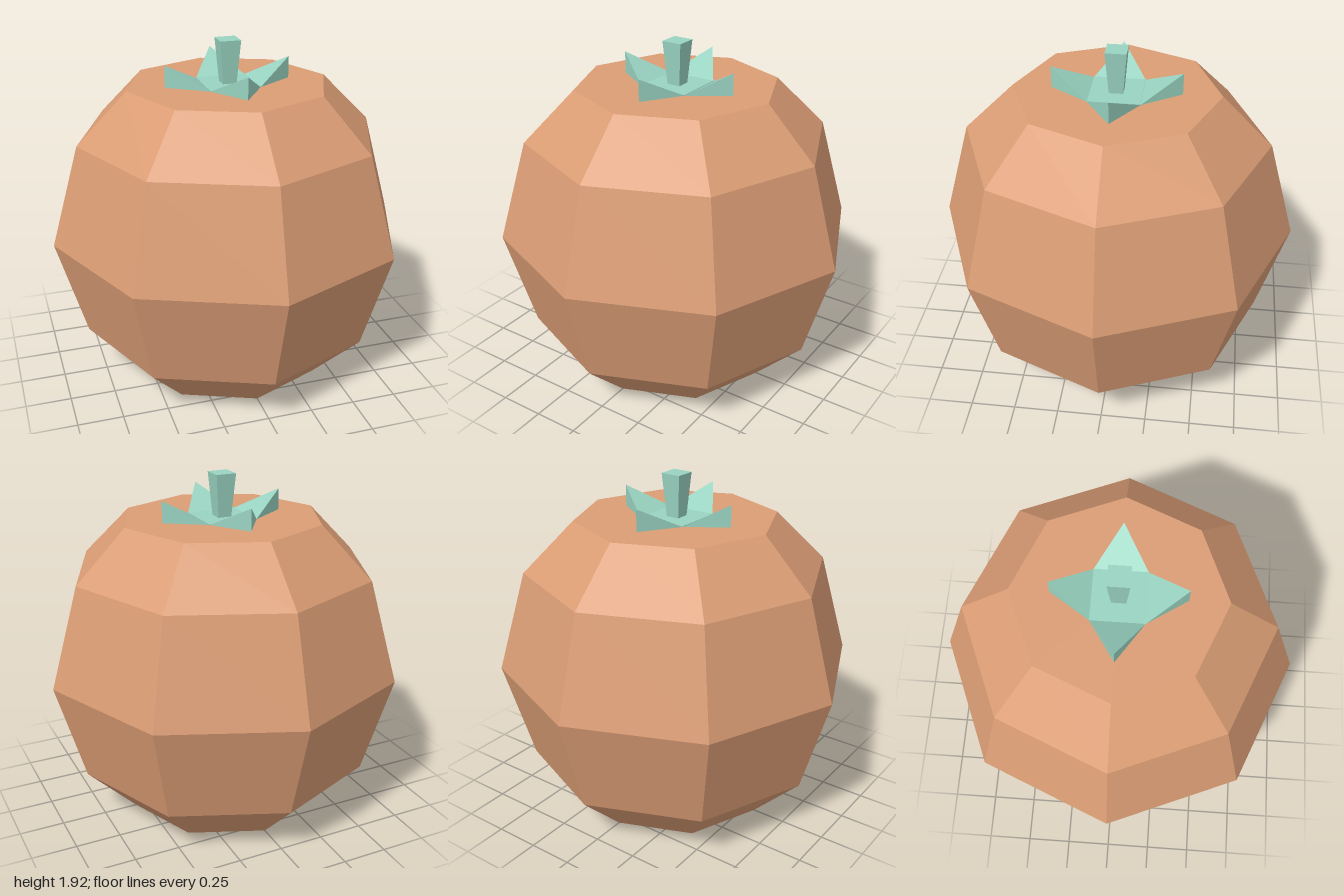
import * as THREE from 'three';

const skin = new THREE.MeshStandardMaterial({ name: 'skin orange', color: 0xdb9d75, flatShading: true });
const green = new THREE.MeshStandardMaterial({ name: 'leaf green', color: 0x99d3c1, flatShading: true });

function addMesh(parent, name, geometry, material) {
  const mesh = new THREE.Mesh(geometry, material);
  mesh.name = name;
  parent.add(mesh);
  return mesh;
}

// Wedge leaf: level inner edge, rising to an upright outer tip
function leafGeometry() {
  const left = [-0.14, 0, 0.14], right = [0.14, 0, 0.14];
  const tipLow = [0, 0, 0.35], tipHigh = [0, 0.12, 0.35];
  const corners = [
    left, tipHigh, right,
    left, tipLow, tipHigh,
    tipLow, right, tipHigh,
    left, right, tipLow,
  ].flat();
  const geometry = new THREE.BufferGeometry();
  geometry.setAttribute('position', new THREE.Float32BufferAttribute(corners, 3));
  geometry.computeVertexNormals();
  return geometry;
}

export function createModel() {
  const model = new THREE.Group();
  model.name = 'fruit';
  const top = 1.68;

  // Eight-sided faceted body with flat ends
  const profile = [[0, 0], [0.56, 0], [0.84, 0.28], [1, 0.84], [0.84, 1.4], [0.56, top], [0, top]]
    .map(([r, y]) => new THREE.Vector2(r, y));
  addMesh(model, 'body', new THREE.LatheGeometry(profile, 8), skin);

  // Crown: a flat square with a leaf on each side
  const crown = new THREE.Group();
  crown.name = 'crown';
  crown.position.y = top;
  model.add(crown);
  addMesh(crown, 'crownBase', new THREE.BoxGeometry(0.28, 0.006, 0.28), green);
  const leaf = leafGeometry();
  for (let i = 0; i < 4; i++) {
    addMesh(crown, 'leaf', leaf, green).rotation.y = i * Math.PI / 2;
  }

  // Square stem, wider at the top
  const stem = new THREE.CylinderGeometry(0.057 * Math.SQRT2, 0.038 * Math.SQRT2, 0.24, 4);
  stem.rotateY(Math.PI / 4);
  addMesh(crown, 'stem', stem, green).position.y = 0.12;

  return model;
}
